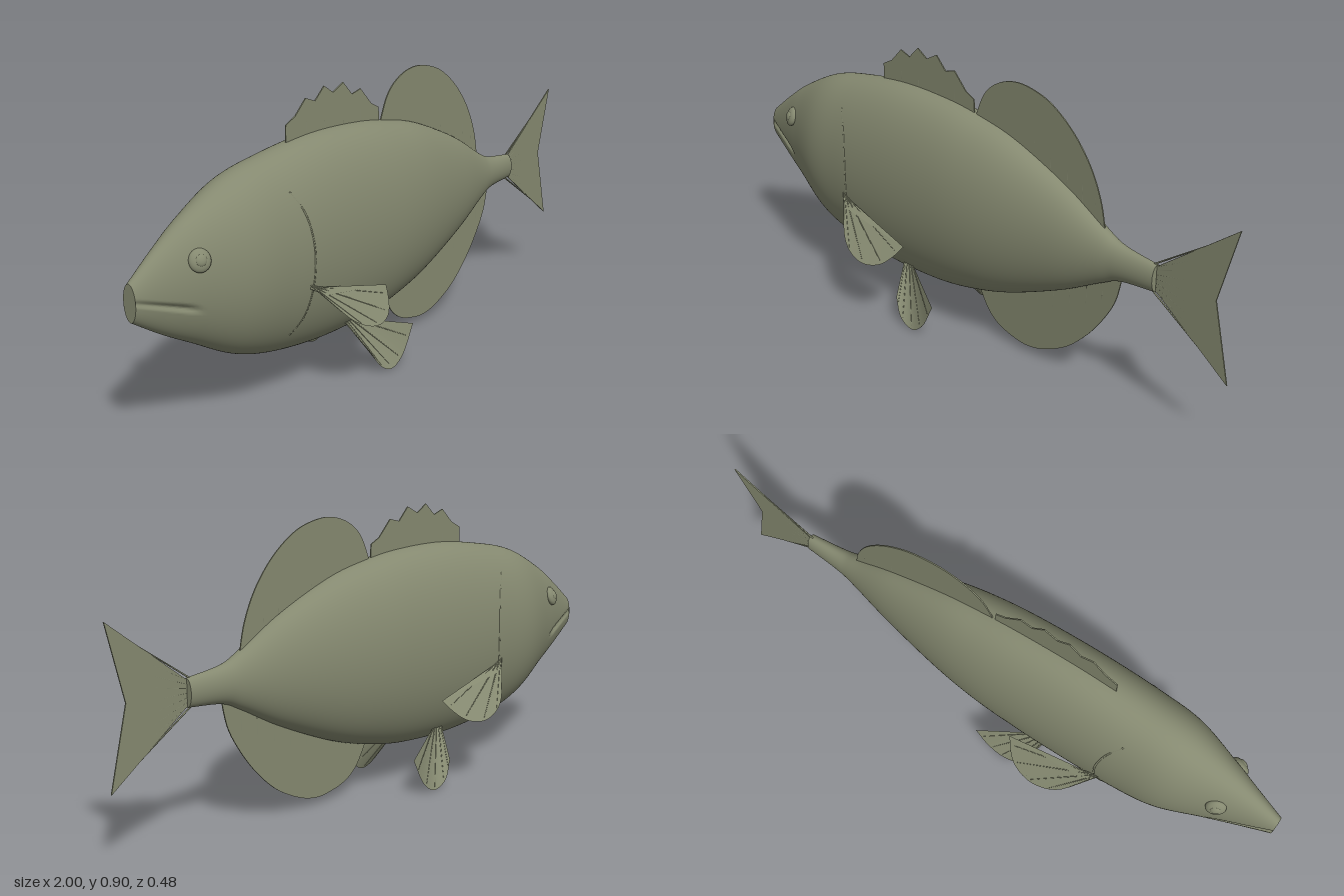
import * as THREE from 'three';

const olive = new THREE.MeshStandardMaterial({ color: 0x858970, side: THREE.DoubleSide });
olive.name = 'olive skin';

// Body stations: x, top y, bottom y, half width
const stations = [
  [-1, .51, .40, .025], [-.9, .585, .335, .055], [-.8, .65, .278, .088], [-.65, .722, .195, .137],
  [-.5, .755, .152, .149], [-.3, .778, .13, .151], [-.1, .773, .135, .148], [.05, .752, .16, .14],
  [.2, .715, .203, .12], [.4, .63, .288, .081], [.55, .542, .368, .045], [.62, .512, .398, .033], [.74, .495, .41, .022],
];
const heights = new THREE.CatmullRomCurve3(stations.map(s => new THREE.Vector3(s[0], s[1], s[2])), false, 'catmullrom');
const widths = new THREE.CatmullRomCurve3(stations.map(s => new THREE.Vector3(s[0], s[3], 0)), false, 'catmullrom');
const RINGS = 120, SIDES = 128;
const sections = Array.from({ length: RINGS + 1 }, (_, i) => {
  const p = heights.getPoint(i / RINGS), q = widths.getPoint(i / RINGS);
  return { x: p.x, c: (p.y + p.z) / 2, h: (p.y - p.z) / 2, w: q.y };
});

// Depth of the body surface at a side position
function surfaceZ(x, y) {
  const s = sections.find(r => r.x >= x) || sections[RINGS];
  return s.w * Math.sqrt(Math.max(0, 1 - ((y - s.c) / s.h) ** 2));
}

function add(parent, name, geometry) {
  const m = new THREE.Mesh(geometry, olive);
  m.name = name;
  parent.add(m);
  return m;
}

function indexed(pos, idx) {
  const g = new THREE.BufferGeometry();
  g.setAttribute('position', new THREE.Float32BufferAttribute(pos, 3));
  g.setIndex(idx);
  g.computeVertexNormals();
  return g;
}

// Elliptical rings with a groove pressed in along the mouth line
function bodyGeometry() {
  const pos = [], idx = [];
  sections.forEach((s, i) => {
    for (let j = 0; j < SIDES; j++) {
      const a = j / SIDES * Math.PI * 2, y = s.c + s.h * Math.sin(a);
      const mouthY = .46 - .33 * (s.x + 1);
      const fade = THREE.MathUtils.clamp((-.81 - s.x) / .05, 0, 1);
      const groove = Math.max(0, 1 - Math.abs(y - mouthY) / .012) * fade;
      pos.push(s.x, y, s.w * Math.cos(a) * (1 - .22 * groove));
      if (i < RINGS) {
        const k = (j + 1) % SIDES, p = i * SIDES, n = p + SIDES;
        idx.push(p + j, n + j, p + k, n + j, n + k, p + k);
      }
    }
  });
  return indexed(pos, idx);
}

function rod(parent, name, a, b, r = .0028) {
  const d = b.clone().sub(a);
  const m = add(parent, name, new THREE.CylinderGeometry(r * .5, r, d.length(), 6));
  m.position.copy(a).addScaledVector(d, .5);
  m.quaternion.setFromUnitVectors(new THREE.Vector3(0, 1, 0), d.normalize());
}

// Thin upright fin on the centre line; each ray is [x1, y1, x2, y2]
function medianFin(parent, name, shape, rays) {
  const g = new THREE.Group();
  g.name = name;
  const geo = new THREE.ExtrudeGeometry(shape, { depth: .004, bevelEnabled: false, curveSegments: 10 });
  add(g, name + 'Membrane', geo.translate(0, 0, -.002));
  rays.forEach(([a, b, c, d]) => rod(g, name + 'Ray', new THREE.Vector3(a, b, 0), new THREE.Vector3(c, d, 0)));
  parent.add(g);
}
const v2 = pts => pts.map(p => new THREE.Vector2(p[0], p[1]));

// Fan membrane from a root line to a curved outer edge
function pairedFin(parent, name, rootA, rootB, edge) {
  const g = new THREE.Group();
  g.name = name;
  const N = 20, pos = [], idx = [];
  const curve = new THREE.CatmullRomCurve3(edge.map(p => new THREE.Vector3(...p)));
  const a = new THREE.Vector3(...rootA), b = new THREE.Vector3(...rootB);
  for (let i = 0; i <= N; i++) {
    const r = a.clone().lerp(b, i / N), e = curve.getPoint(i / N);
    pos.push(...r.toArray(), ...e.toArray());
    if (i < N) idx.push(2 * i, 2 * i + 1, 2 * i + 2, 2 * i + 1, 2 * i + 3, 2 * i + 2);
    if (i % 4 === 2) rod(g, name + 'Ray', r, r.clone().lerp(e, .95), .002);
  }
  add(g, name + 'Membrane', indexed(pos, idx));
  parent.add(g);
}

export function createModel() {
  const fish = new THREE.Group();
  fish.name = 'fish';

  add(fish, 'body', bodyGeometry());
  [[sections[0], -1, 'snoutTip'], [sections[RINGS], 1, 'tailStump']].forEach(([s, dir, name]) => {
    const cap = add(fish, name, new THREE.CircleGeometry(1, 48).scale(s.w, s.h, 1).rotateY(dir * Math.PI / 2));
    cap.position.set(s.x, s.c, 0);
  });

  // Spiny front dorsal fin
  const spines = [[-.4, .82], [-.36, .84], [-.315, .885], [-.275, .87], [-.235, .908], [-.195, .882],
    [-.15, .905], [-.11, .862], [-.07, .872], [-.02, .818], [.015, .80]];
  medianFin(fish, 'spinyDorsalFin', new THREE.Shape(v2([[-.4, .74], ...spines, [.02, .73]])),
    spines.filter((_, i) => i % 2 === 0).map(([x, y]) => [x, .75, x, y - .005]));

  // Soft dorsal and anal fins with rounded edges
  const dorsal = new THREE.Shape();
  dorsal.moveTo(.02, .74);
  dorsal.splineThru(v2([[.06, .83], [.12, .88], [.2, .9], [.29, .885], [.36, .85], [.43, .79], [.49, .71], [.53, .62], [.55, .53]]));
  dorsal.lineTo(.3, .6);
  medianFin(fish, 'softDorsalFin', dorsal,
    [[.08, .84], [.14, .885], [.205, .893], [.27, .885], [.335, .86], [.4, .81], [.46, .745], [.51, .66]]
      .map(([x, y]) => [x, .6, x, y - .01]));
  const anal = new THREE.Shape();
  anal.moveTo(.035, .18);
  anal.splineThru(v2([[.08, .1], [.13, .057], [.2, .035], [.26, .03], [.33, .047], [.42, .095], [.5, .17], [.56, .25], [.6, .325], [.62, .41]]));
  anal.lineTo(.3, .33);
  medianFin(fish, 'analFin', anal,
    [[.1, .085], [.165, .045], [.23, .033], [.295, .037], [.36, .063], [.425, .1], [.49, .16], [.55, .24]]
      .map(([x, y]) => [x, .34, x, y + .01]));

  // Forked tail fin
  const tailRays = [];
  for (let i = 0; i <= 8; i++) {
    const t = i / 4 - 1, f = Math.abs(t);
    tailRays.push([.72, .452 + t * .036, .94 + .055 * f, .452 + t * .225]);
  }
  medianFin(fish, 'tailFin', new THREE.Shape(v2([[.72, .41], [.745, .41], [1, .215], [.942, .46], [1, .69], [.745, .495], [.72, .495]])), tailRays);

  // Paired parts, built on the left and mirrored to the right
  [1, -1].forEach(side => {
    const half = new THREE.Group();
    half.name = side > 0 ? 'leftSide' : 'rightSide';
    half.scale.z = side;
    fish.add(half);

    // Pectoral fin lies in one slanted plane
    const onPlane = ([x, y]) => [x, y, .145 - .159 * (x + .47) - .754 * (y - .39)];
    pairedFin(half, 'pectoralFin', [-.475, .40, .135], [-.445, .372, .145],
      [[-.42, .33], [-.37, .268], [-.32, .236], [-.26, .221], [-.2, .232], [-.165, .262], [-.143, .296]].map(onPlane));
    rod(half, 'pectoralRoot', new THREE.Vector3(-.5, .40, .10), new THREE.Vector3(-.44, .362, .16), .008);
    const upper = add(half, 'pectoralUpperWeb', indexed(
      [-.475, .40, .135, -.42, .345, .168, ...onPlane([-.143, .296]), -.445, .372, .145], [0, 1, 3, 1, 2, 3]));
    upper.position.z = .001;

    // Pelvic fin fans out to an upright outer edge
    pairedFin(half, 'pelvicFin', [-.24, .18, .075], [-.19, .175, .078],
      [[-.2, .085, .15], [-.165, .028, .164], [-.11, .005, .166], [-.06, .035, .166], [-.01, .125, .166]]);

    // Eye with a raised pupil
    const eye = new THREE.Group();
    eye.name = 'eye';
    eye.position.set(-.817, .542, surfaceZ(-.817, .542));
    eye.rotation.set(-.35, -.35, 0);
    add(eye, 'eyeball', new THREE.SphereGeometry(.032, 32, 20).scale(1, 1.05, .5));
    add(eye, 'pupil', new THREE.SphereGeometry(.017, 24, 16).scale(1, 1, .5)).position.z = .011;
    half.add(eye);

    // Gill cover edge
    const gill = new THREE.CatmullRomCurve3([[-.5, .665], [-.465, .6], [-.447, .52], [-.443, .45], [-.45, .36], [-.47, .28], [-.505, .23]]
      .map(([x, y]) => new THREE.Vector3(x, y, surfaceZ(x, y) - .002)));
    add(half, 'gillEdge', new THREE.TubeGeometry(gill, 40, .0035, 6));
  });

  return fish;
}
